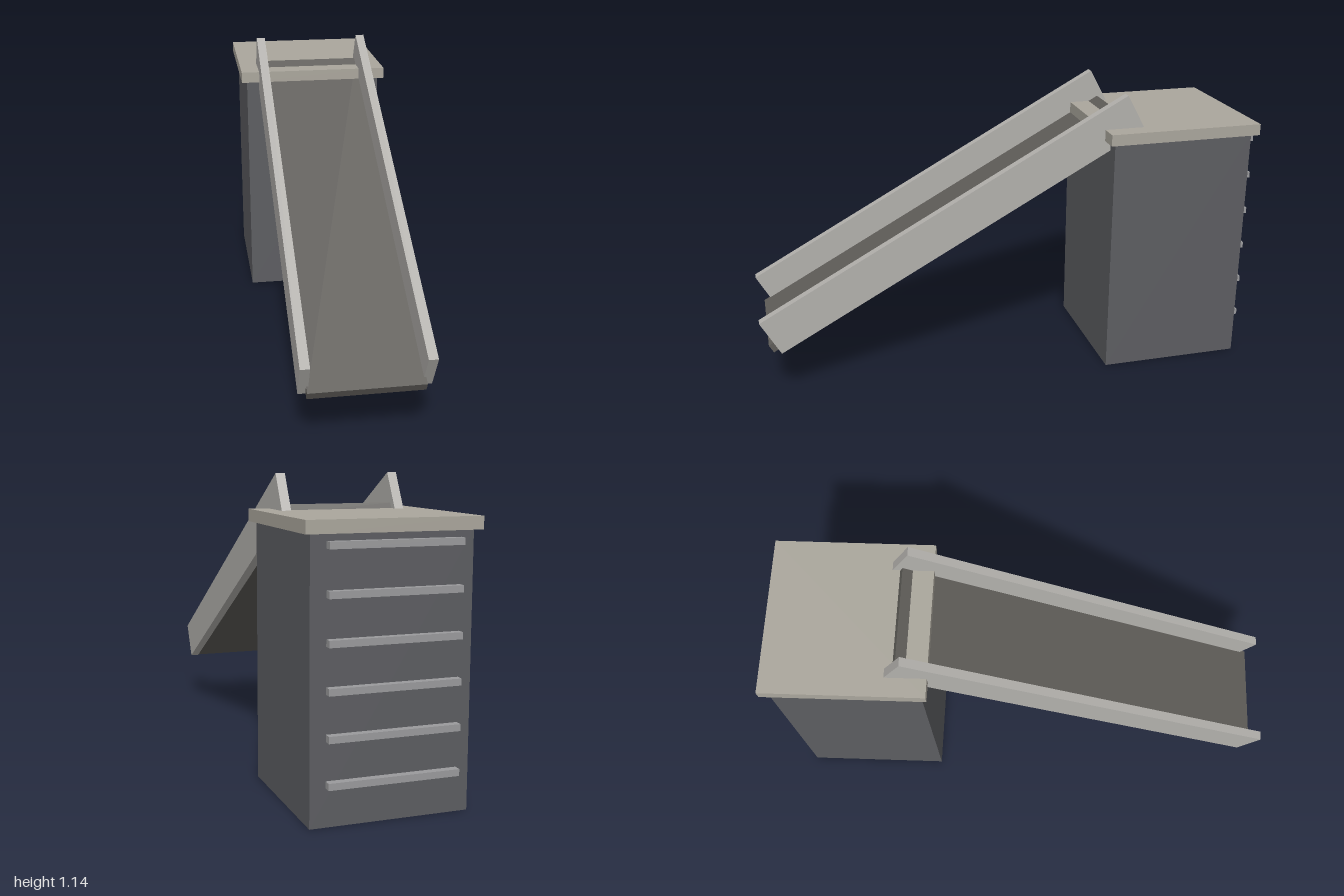
import * as THREE from 'three';

const paint = (color, side = THREE.FrontSide) =>
  new THREE.MeshStandardMaterial({ color, side, flatShading: true });

function box(name, material, [w, h, d], [x, y, z]) {
  const mesh = new THREE.Mesh(new THREE.BoxGeometry(w, h, d), material);
  mesh.name = name;
  mesh.position.set(x, y, z);
  return mesh;
}

export function createModel() {
  const model = new THREE.Group();
  model.name = 'playSlide';
  const beige = paint(0xaaa69c);
  const railGrey = paint(0xb2b0ac);
  const bedGrey = paint(0x5e5c58);
  const rungGrey = paint(0x9a9a9c);

  // Tower: four thin walls, open underneath and capped by the deck
  const [hw, back, front] = [0.287, -0.961, -0.388];
  const outline = [[-hw, front], [hw, front], [hw, back], [-hw, back]];
  const positions = [];
  outline.forEach(([x0, z0], i) => {
    const [x1, z1] = outline[(i + 1) % 4];
    const top = 0.966;
    positions.push(x0, 0, z0, x1, 0, z1, x1, top, z1, x0, 0, z0, x1, top, z1, x0, top, z0);
  });
  const walls = new THREE.BufferGeometry();
  walls.setAttribute('position', new THREE.Float32BufferAttribute(positions, 3));
  walls.computeVertexNormals();
  const tower = new THREE.Mesh(walls, paint(0x5c5d61, THREE.DoubleSide));
  tower.name = 'towerWalls';
  model.add(tower);

  // Deck overhanging the tower
  model.add(box('deck', beige, [0.62, 0.045, 0.621], [0, 0.9875, -0.6755]));

  // Ladder rungs just behind the back wall
  const ladder = new THREE.Group();
  ladder.name = 'ladder';
  for (let i = 0; i < 6; i++) {
    ladder.add(box('rung', rungGrey, [0.47, 0.024, 0.028], [0, 0.15 + i * 0.156, -0.986]));
  }
  model.add(ladder);

  // Sloping chute: bed between two side rails, all at one tilt
  const tilt = Math.atan2(0.795, 1.455);
  const chute = new THREE.Group();
  chute.name = 'chute';
  const bed = box('slideBed', bedGrey, [0.416, 0.036, 1.66], [0, 0.6165, 0.236]);
  chute.add(bed);
  for (const s of [1, -1]) {
    const name = s > 0 ? 'leftRail' : 'rightRail';
    chute.add(box(name, railGrey, [0.035, 0.157, 1.658], [s * 0.2175, 0.6735, 0.2365]));
  }
  for (const part of chute.children) part.rotation.x = tilt;
  model.add(chute);

  return model;
}
